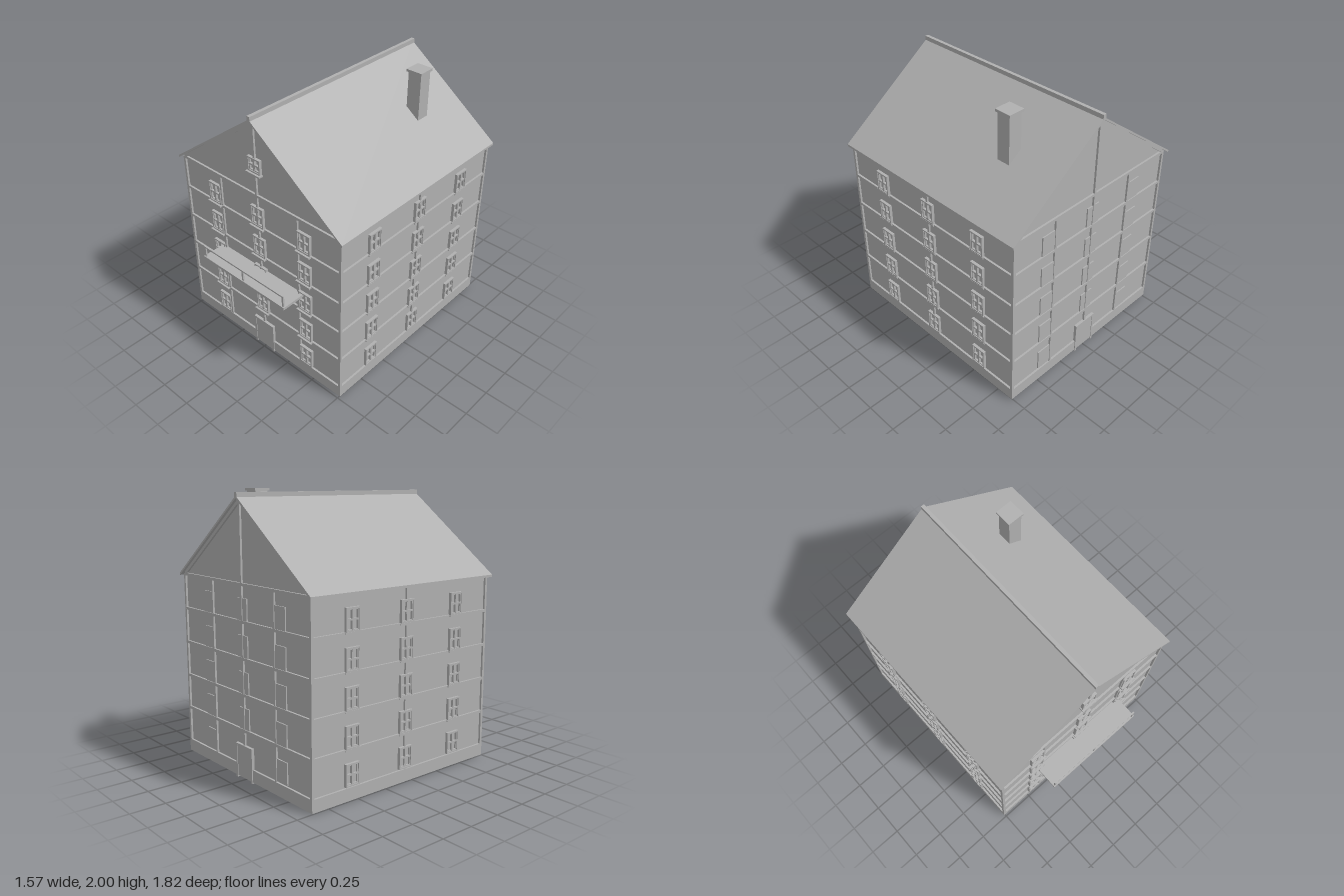
import * as THREE from 'three';

const grey = new THREE.MeshStandardMaterial({ color: 0xb0b0b0 });
grey.name = 'plaster grey';

const SLOPE = 0.7325;
const FLOORS = [0.1, 0.355, 0.61, 0.865, 1.12];
const EAVE = 1.375;
const MID_Z = -0.0775;

// Box given by its minimum and maximum on each axis
function box(parent, name, x0, x1, y0, y1, z0, z1) {
  const mesh = new THREE.Mesh(new THREE.BoxGeometry(x1 - x0, y1 - y0, z1 - z0), grey);
  mesh.position.set((x0 + x1) / 2, (y0 + y1) / 2, (z0 + z1) / 2);
  mesh.name = name;
  parent.add(mesh);
  return mesh;
}

function extrude(parent, name, points, z0, z1) {
  const shape = new THREE.Shape(points.map(([x, y]) => new THREE.Vector2(x, y)));
  const geometry = new THREE.ExtrudeGeometry(shape, { depth: z1 - z0, bevelEnabled: false });
  const mesh = new THREE.Mesh(geometry, grey);
  mesh.position.z = z0;
  mesh.name = name;
  parent.add(mesh);
}

// Inverted V following the roof pitch
function chevron(half, top, thick) {
  const drop = SLOPE * half;
  return [[-half, top - drop], [-half, top - drop - thick], [0, top - thick],
    [half, top - drop - thick], [half, top - drop], [0, top]];
}

// Rectangular frame on a wall
function frame(parent, name, x0, x1, y0, y1, bar, z) {
  box(parent, name, x0, x0 + bar, y0, y1, 0, z);
  box(parent, name, x1 - bar, x1, y0, y1, 0, z);
  box(parent, name, x0 + bar, x1 - bar, y1 - bar, y1, 0, z);
  box(parent, name, x0 + bar, x1 - bar, y0, y0 + bar, 0, z);
}

// Four-pane window with an optional sill
function makeWindow(parent, x, y, height, sill) {
  const win = new THREE.Group();
  win.name = 'window';
  win.position.set(x, y, 0);
  parent.add(win);
  frame(win, 'windowFrame', -0.058, 0.058, 0, height, 0.01, 0.021);
  frame(win, 'windowSash', -0.048, 0.048, 0.01, height - 0.01, 0.007, 0.014);
  box(win, 'windowMullion', -0.007, 0.007, 0.01, height - 0.01, 0, 0.017);
  box(win, 'windowTransom', -0.048, 0.048, height * 0.5 - 0.006, height * 0.5 + 0.006, 0, 0.017);
  if (sill) box(win, 'windowSill', -0.065, 0.065, -0.012, 0, 0, sill);
}

// Plain closed panel used on the rear wall
function makePanel(parent, x, y) {
  box(parent, 'rearPanel', x - 0.058, x + 0.058, y, y + 0.155, 0, 0.009);
}

// Timber grid of one wall: local x across, y up, z outward
function makeWall(parent, name, half, posts) {
  const wall = new THREE.Group();
  wall.name = name;
  parent.add(wall);
  for (const y of [...FLOORS.slice(1), EAVE]) {
    box(wall, 'floorBeam', -half, half, y - 0.01, y + 0.01, 0, 0.0148);
  }
  for (const x of posts) box(wall, 'wallPost', x - 0.008, x + 0.008, 0.1, EAVE, 0, 0.0142);
  return wall;
}

// Door surround with a leaf and small feet
function makeDoor(parent) {
  for (const s of [-1, 1]) {
    const x = s * 0.09;
    box(parent, 'doorJamb', x - 0.009, x + 0.009, 0, 0.25, 0, 0.021);
  }
  box(parent, 'doorLintel', -0.081, 0.081, 0.236, 0.25, 0, 0.021);
  box(parent, 'doorLeaf', -0.081, 0.081, 0.012, 0.236, 0, 0.017);
}

export function createModel() {
  const model = new THREE.Group();
  model.name = 'gabledHouse';

  // Body and plinth
  const eaveY = 1.93 - SLOPE * 0.745;
  extrude(model, 'houseBody', [[-0.745, 0.05], [0.745, 0.05], [0.745, eaveY],
    [0, 1.93], [-0.745, eaveY]], -0.875, 0.72);
  box(model, 'plinth', -0.76, 0.76, 0.01, 0.1, -0.89, 0.735);
  for (const x of [-0.75, 0.75]) {
    for (const z of [-0.88, 0.725]) {
      box(model, 'cornerPost', x - 0.01, x + 0.01, 0.1, EAVE + 0.005, z - 0.01, z + 0.01);
    }
  }

  // Front and rear walls
  const front = makeWall(model, 'frontWall', 0.74, [-0.37, 0.37, 0]);
  front.position.z = 0.72;
  const back = makeWall(model, 'backWall', 0.74, [-0.37, 0.37, 0]);
  back.position.z = -0.875;
  back.rotation.y = Math.PI;
  for (const wall of [front, back]) {
    box(wall, 'gablePost', -0.009, 0.009, EAVE, 1.93, 0, 0.0148);
    makeDoor(wall);
  }
  FLOORS.forEach((y, i) => {
    for (const x of [-0.433, 0, 0.433]) {
      if (i === 0 && x === 0) continue;
      makeWindow(front, x, y + 0.008, 0.157, i ? 0.036 : 0);
      makePanel(back, x, y + 0.008);
    }
  });
  makeWindow(front, 0, 1.56, 0.11, 0.036);

  // Side walls
  for (const s of [-1, 1]) {
    const side = makeWall(model, s > 0 ? 'leftWall' : 'rightWall', 0.8, [0]);
    side.position.set(s * 0.745, 0, MID_Z);
    side.rotation.y = s * Math.PI / 2;
    FLOORS.forEach((y, i) => {
      for (const x of [-0.48, 0, 0.48]) makeWindow(side, x, y + 0.008, 0.157, i ? 0.022 : 0);
    });
  }

  // Roof, gable rafters and ridge
  extrude(model, 'roof', chevron(0.785, 1.958, 0.017), -0.91, 0.757);
  extrude(model, 'frontRafters', chevron(0.745, 1.942, 0.028), 0.715, 0.735);
  extrude(model, 'backRafters', chevron(0.745, 1.942, 0.028), -0.89, -0.87);
  box(model, 'ridge', -0.013, 0.013, 1.94, 1.98, -0.911, 0.758);

  // Chimney
  box(model, 'chimneyShaft', 0.334, 0.44, 1.62, 1.982, -0.53, -0.426);
  box(model, 'chimneyCap', 0.322, 0.45, 1.982, 2, -0.542, -0.414);

  // Balcony
  const balcony = new THREE.Group();
  balcony.name = 'balcony';
  model.add(balcony);
  box(balcony, 'balconyFloor', -0.41, 0.41, 0.732, 0.752, 0.715, 0.912);
  for (const x of [-0.395, 0, 0.395]) {
    box(balcony, 'railPost', x - 0.007, x + 0.007, 0.752, 0.832, 0.895, 0.906);
  }
  box(balcony, 'handrail', -0.402, 0.402, 0.83, 0.842, 0.895, 0.906);

  return model;
}
